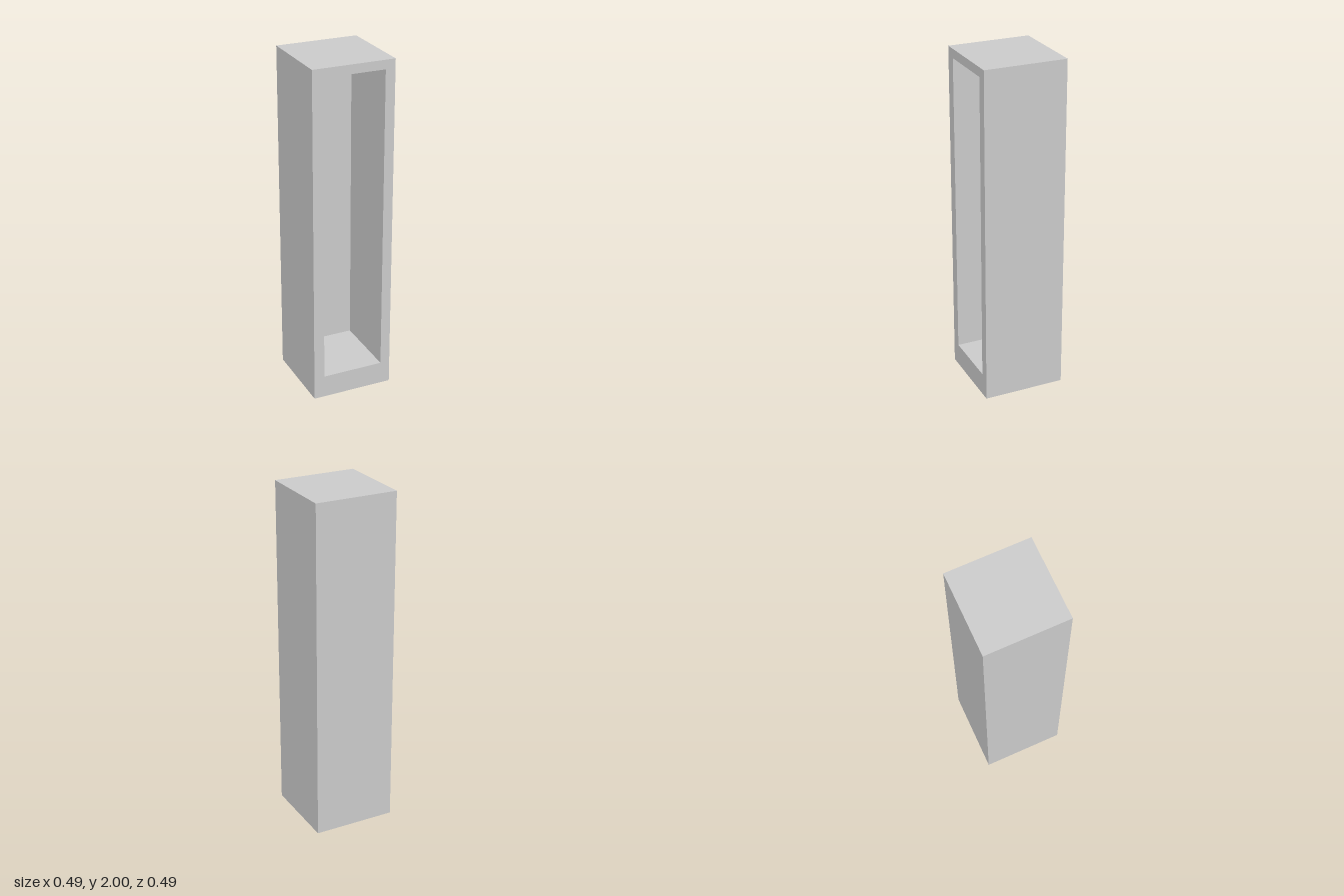
import * as THREE from 'three';

const HALF = 0.243, HEIGHT = 2;
// recess limits
const X0 = -0.18, X1 = 0.185, Y0 = 0.135, Y1 = 1.947, Z_BACK = -0.18;

// Box between two corners without its front (+z) face; inward turns the walls to face inside
function openBox(min, max, inward) {
  const size = max.clone().sub(min), mid = min.clone().add(max).multiplyScalar(0.5);
  const geo = new THREE.BoxGeometry(size.x, size.y, size.z).translate(mid.x, mid.y, mid.z);
  const index = Array.from(geo.index.array);
  index.splice(24, 6);
  if (inward) index.reverse();
  geo.setIndex(index);
  geo.clearGroups();
  geo.computeVertexNormals();
  return geo;
}

function rectangle(path, x0, y0, x1, y1) {
  path.moveTo(x0, y0);
  path.lineTo(x1, y0);
  path.lineTo(x1, y1);
  path.lineTo(x0, y1);
  path.closePath();
  return path;
}

export function createModel() {
  const group = new THREE.Group();
  group.name = 'cabinet';
  const material = new THREE.MeshStandardMaterial({ color: 0xcccccc });
  const add = (name, geometry) => {
    const mesh = new THREE.Mesh(geometry, material);
    mesh.name = name;
    group.add(mesh);
  };

  // outer walls, top, bottom and back
  add('outerShell', openBox(new THREE.Vector3(-HALF, 0, -HALF), new THREE.Vector3(HALF, HEIGHT, HALF), false));

  // lining of the tall recess
  add('innerRecess', openBox(new THREE.Vector3(X0, Y0, Z_BACK), new THREE.Vector3(X1, Y1, HALF), true));

  // front rim around the opening
  const rim = rectangle(new THREE.Shape(), -HALF, 0, HALF, HEIGHT);
  rim.holes.push(rectangle(new THREE.Path(), X0, Y0, X1, Y1));
  add('frontFrame', new THREE.ShapeGeometry(rim).translate(0, 0, HALF));

  return group;
}
